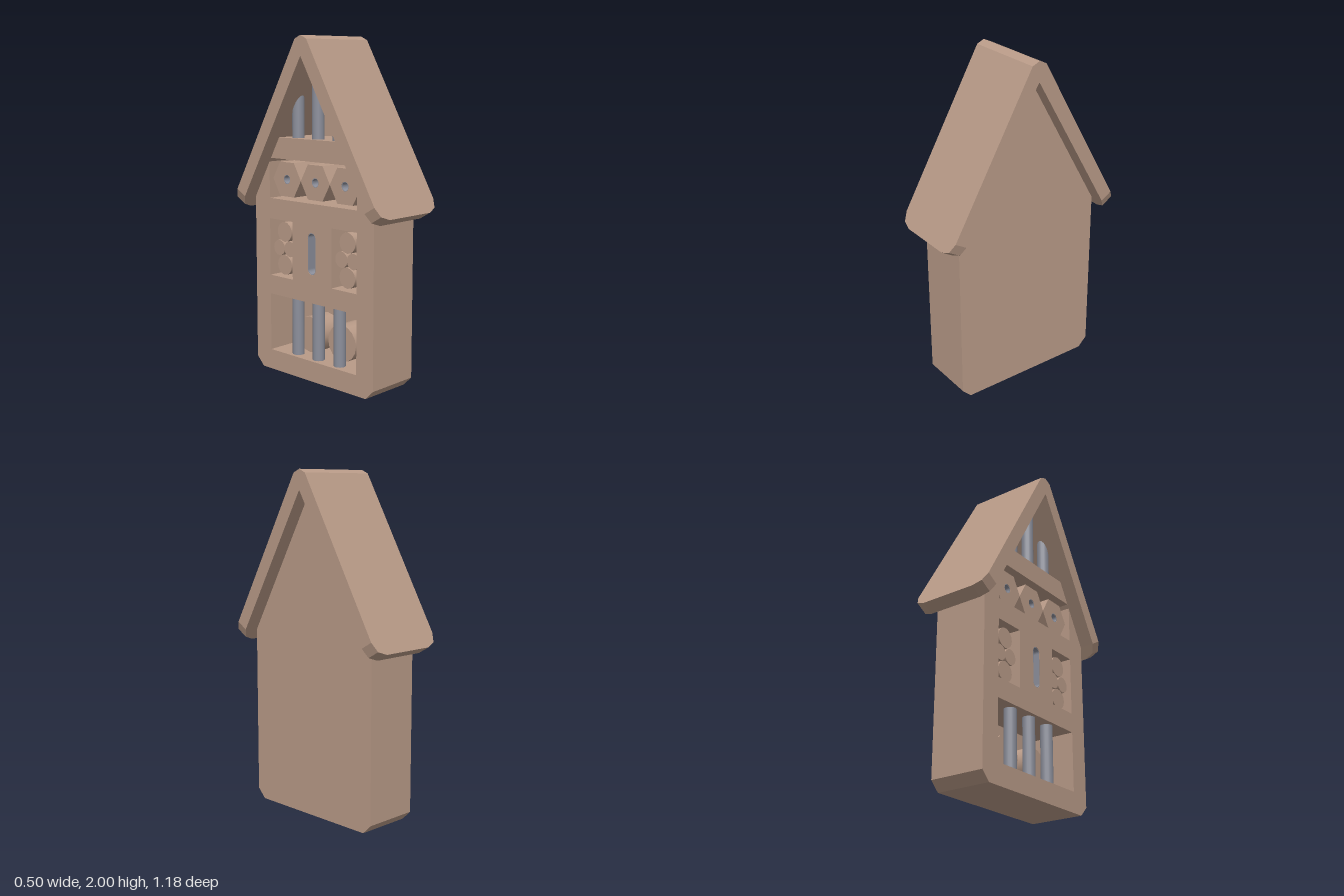
import * as THREE from 'three';

const wood = new THREE.MeshStandardMaterial({ color: 0xb89a87 });
wood.name = 'wood';
const slate = new THREE.MeshStandardMaterial({ color: 0x8c8f9b });
slate.name = 'slate';

const WALL = 0.167;   // half depth of the body in x
const BACK = 0.1;     // inner face of the closed panel
const roofLine = z => 1.885 - 1.75 * Math.abs(z);

// Shapes are drawn in (z, y)
const poly = pts => new THREE.Shape(pts.map(p => new THREE.Vector2(p[0], p[1])));
const rect = (z0, z1, y0, y1) => poly([[z0, y0], [z1, y0], [z1, y1], [z0, y1]]);
function slot(z, y, r, half) {
  const s = new THREE.Shape();
  s.absarc(z, y + half, r, 0, Math.PI);
  s.absarc(z, y - half, r, Math.PI, Math.PI * 2);
  s.closePath();
  return s;
}

export function createModel() {
  const model = new THREE.Group();
  model.name = 'insectHouse';

  function add(name, geometry, material = wood) {
    const mesh = new THREE.Mesh(geometry, material);
    mesh.name = name;
    model.add(mesh);
    return mesh;
  }
  // Extrude a (z, y) shape from x = xBack towards the open side at x = xFront
  function slab(name, shape, xBack, xFront, material = wood, holes = []) {
    shape.holes.push(...holes);
    const g = new THREE.ExtrudeGeometry(shape, { depth: xBack - xFront, bevelEnabled: false, curveSegments: 8 });
    g.rotateY(-Math.PI / 2).translate(xBack, 0, 0);
    return add(name, g, material);
  }
  // Cylinder lying along x
  function log(name, z, y, r, xBack, xFront) {
    const g = new THREE.CylinderGeometry(r, r, xBack - xFront, 16);
    g.rotateZ(Math.PI / 2).translate((xBack + xFront) / 2, y, z);
    return add(name, g);
  }
  // Upright cylinder whose top follows a height rule
  function reed(z, y0, topAt) {
    const g = new THREE.CylinderGeometry(0.036, 0.036, 1, 16);
    g.translate(-0.11, 0.5, z);
    const p = g.attributes.position;
    for (let i = 0; i < p.count; i++) p.setY(i, p.getY(i) > 0.5 ? topAt(p.getZ(i)) : y0);
    add('reed', g, slate);
  }

  // Closed panel
  slab('backPanel', poly([[-0.42, 0], [0.42, 0], [0.475, 0.055], [0.475, roofLine(0.475)],
    [0, 1.885], [-0.475, roofLine(0.475)], [-0.475, 0.055]]), WALL, BACK);

  // Frame with compartments
  const sideTop = roofLine(0.35), eave = roofLine(0.475);
  slab('frame', poly([[-0.42, 0], [0.42, 0], [0.475, 0.055], [0.475, eave], [0.35, sideTop], [0.35, 1.055],
    [-0.35, 1.055], [-0.35, sideTop], [-0.475, eave], [-0.475, 0.055]]), BACK, -WALL, wood, [
    rect(-0.35, 0.35, 0.122, 0.472),
    rect(-0.35, -0.158, 0.587, 0.932),
    rect(0.158, 0.35, 0.587, 0.932),
    slot(0, 0.762, 0.031, 0.092),
  ]);
  slab('atticShelf', poly([[-roofSide(1.295), 1.295], [roofSide(1.295), 1.295],
    [roofSide(1.42), 1.42], [-roofSide(1.42), 1.42]]), BACK, -WALL);
  slab('slotLining', slot(0, 0.762, 0.031, 0.092), BACK, -WALL + 0.002, slate, [slot(0, 0.762, 0.027, 0.092)]);

  // Row of drilled hexagonal blocks
  for (const z of [-0.233, 0, 0.233]) {
    const pts = [];
    for (let i = 0; i < 6; i++) {
      const a = i * Math.PI / 3;
      pts.push([z + 0.117 * Math.cos(a), 1.172 + 0.117 * Math.sin(a)]);
    }
    slab('hexBlock', poly(pts), BACK, -0.137, wood, [slot(z, 1.172, 0.027, 0.0005)]);
    slab('hexLining', slot(z, 1.172, 0.027, 0.0005), BACK, -0.135, slate, [slot(z, 1.172, 0.023, 0.0005)]);
  }

  // Log bundles in the middle compartments
  for (const side of [-1, 1]) {
    const z = side * 0.254;
    for (const s of [-1, 1]) {
      log('smallLog', z + s * 0.045, 0.757, 0.047, BACK, -0.14);
      log('middleLog', z, 0.757 + s * 0.1, 0.06, BACK, -0.139);
    }
    // Large logs behind the lower reeds
    log('lowerLog', side * 0.13, 0.234, 0.11, BACK, -0.05);
  }

  // Reeds in the lower compartment and attic
  for (const z of [-0.17, 0, 0.17]) {
    reed(z, 0.122, () => 0.472);
    reed(z * 0.95, 1.42, roofLine);
  }

  add('roof', roofGeometry());
  return model;
}

function roofSide(y) {
  return (1.885 - y) / 1.75;
}

// Roof lofted from eave to eave, with rounded eave corners and a softened ridge
function roofGeometry() {
  const half = [[0, 0.17], [0.023, 0.227], [0.08, 0.25]].map(([t, w]) => ({
    w, outer: [0.588 - 0.496 * t, 1.03 + 0.868 * t], inner: [0.52 - 0.496 * t, 0.99 + 0.868 * t],
  }));
  half.push({ w: 0.25, outer: [0.045, 1.98], inner: [0.012, 1.866] });
  const ridge = { w: 0.25, outer: [0, 2], inner: [0, 1.885] };
  const flip = s => ({ w: s.w, outer: [-s.outer[0], s.outer[1]], inner: [-s.inner[0], s.inner[1]] });
  const rings = [...half, ridge, ...half.map(flip).reverse()].map(s => [
    [-s.w, s.outer[1], s.outer[0]], [s.w, s.outer[1], s.outer[0]],
    [s.w, s.inner[1], s.inner[0]], [-s.w, s.inner[1], s.inner[0]],
  ]);
  const pos = [];
  const quad = (a, b, c, d) => pos.push(...a, ...b, ...c, ...a, ...c, ...d);
  for (let i = 0; i < rings.length - 1; i++) {
    for (let k = 0; k < 4; k++) {
      const n = (k + 1) % 4;
      quad(rings[i][k], rings[i][n], rings[i + 1][n], rings[i + 1][k]);
    }
  }
  const first = rings[0], last = rings[rings.length - 1];
  quad(first[3], first[2], first[1], first[0]);
  quad(last[0], last[1], last[2], last[3]);
  const g = new THREE.BufferGeometry();
  g.setAttribute('position', new THREE.Float32BufferAttribute(pos, 3));
  g.computeVertexNormals();
  return g;
}
